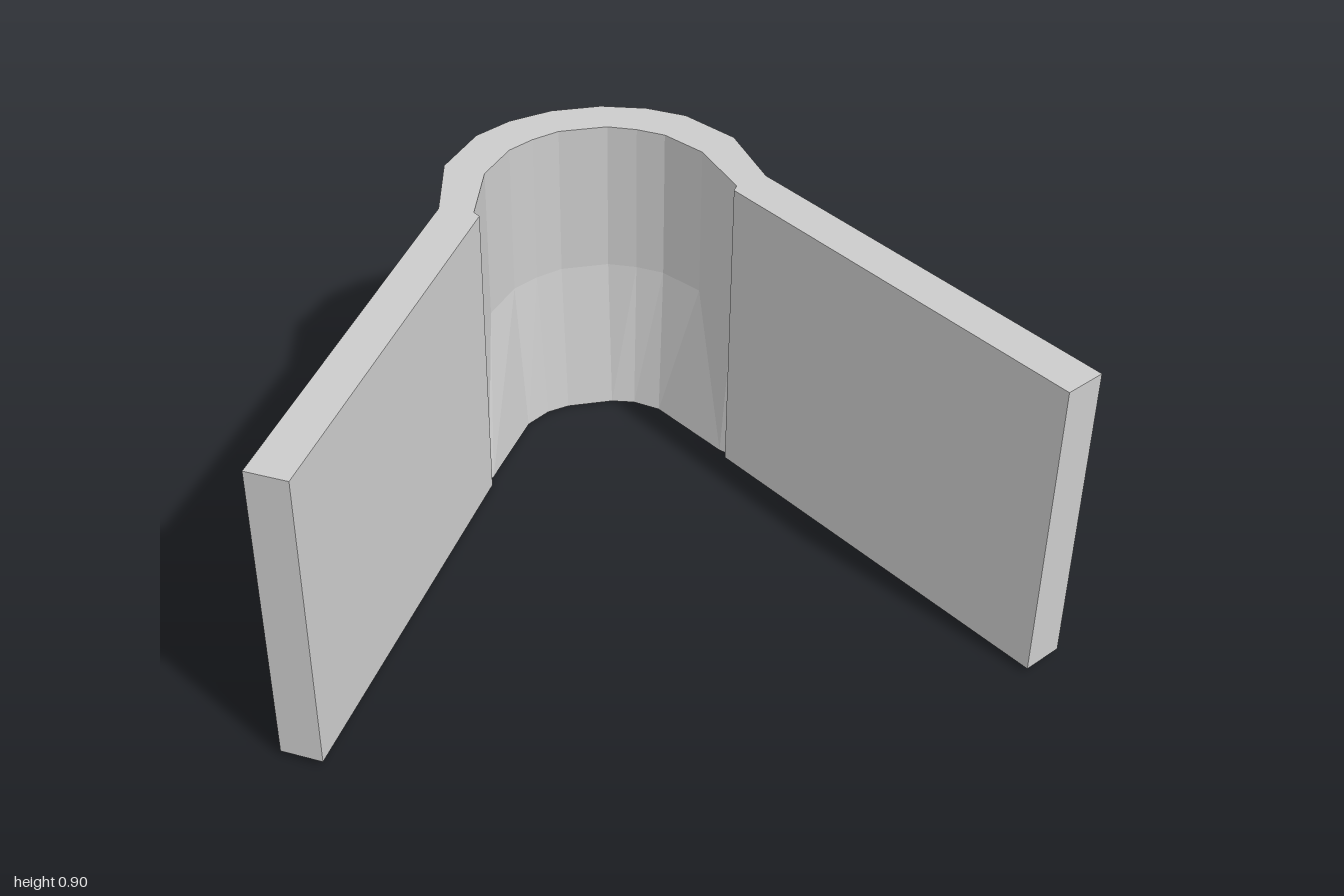
import * as THREE from 'three';

// Half outline from the middle of the bend to the arm tip: [outer x, outer z, inner x, inner z]
const UPPER = [
  [0.07, -0.755, 0.068, -0.64],
  [0.193, -0.72, 0.145, -0.61],
  [0.293, -0.66, 0.215, -0.567],
  [0.398, -0.52, 0.297, -0.46],
  [0.438, -0.31, 0.35, -0.275],
  [0.461, -0.27, 0.338, -0.255],
  [1, 0.687, 0.9, 0.743],
];
// The bend is drawn in at the bottom
const LOWER = [
  [0.07, -0.69, 0.066, -0.578],
  [0.172, -0.66, 0.13, -0.56],
  [0.262, -0.6, 0.195, -0.513],
  [0.335, -0.48, 0.33, -0.29],
  [0.42, -0.34, 0.345, -0.275],
  [0.461, -0.27, 0.338, -0.255],
  [1, 0.687, 0.9, 0.743],
];
const TIP = UPPER.length - 1;

// Mirrors a half outline into a full run from the right tip to the left tip
function fullRun(half) {
  const side = (sign) => half.map(([ox, oz, ix, iz], i) => {
    const shift = i === TIP ? 0 : -0.007; // the bend sits slightly off centre
    const dz = i === TIP ? sign * 0.005 : 0;
    return { o: [sign * ox + shift, oz + dz], i: [sign * ix + shift, iz + dz], tip: i === TIP };
  });
  return [...side(-1).reverse(), ...side(1)];
}

function bandGeometry() {
  const levels = [[LOWER, 0], [UPPER, 0.45], [UPPER, 0.905]].map(([half, y]) =>
    fullRun(half).map((p) => {
      const h = y === 0 && p.tip ? 0.015 : y; // bottom edge rises a little to the tips
      return { o: [p.o[0], h, p.o[1]], i: [p.i[0], h, p.i[1]] };
    }));
  const pos = [];
  const quad = (a, b, c, d) => pos.push(...a, ...b, ...c, ...a, ...c, ...d);
  const last = levels[0].length - 1;

  for (let l = 0; l < 2; l++) {
    const lo = levels[l], hi = levels[l + 1];
    for (let s = 0; s < last; s++) {
      quad(lo[s].i, lo[s + 1].i, hi[s + 1].i, hi[s].i); // inner wall
      quad(lo[s + 1].o, lo[s].o, hi[s].o, hi[s + 1].o); // outer wall
    }
    quad(lo[0].o, lo[0].i, hi[0].i, hi[0].o); // arm ends
    quad(lo[last].i, lo[last].o, hi[last].o, hi[last].i);
  }
  // Top and bottom edges
  const [bot, , top] = levels;
  for (let s = 0; s < last; s++) {
    quad(top[s].i, top[s + 1].i, top[s + 1].o, top[s].o);
    quad(bot[s].o, bot[s + 1].o, bot[s + 1].i, bot[s].i);
  }

  const geo = new THREE.BufferGeometry();
  geo.setAttribute('position', new THREE.Float32BufferAttribute(pos, 3));
  geo.computeVertexNormals();
  return geo;
}

export function createModel() {
  const group = new THREE.Group();
  const material = new THREE.MeshStandardMaterial({ color: 0xcccccc, flatShading: true });
  const band = new THREE.Mesh(bandGeometry(), material);
  band.name = 'bentBand';
  group.add(band);
  return group;
}
